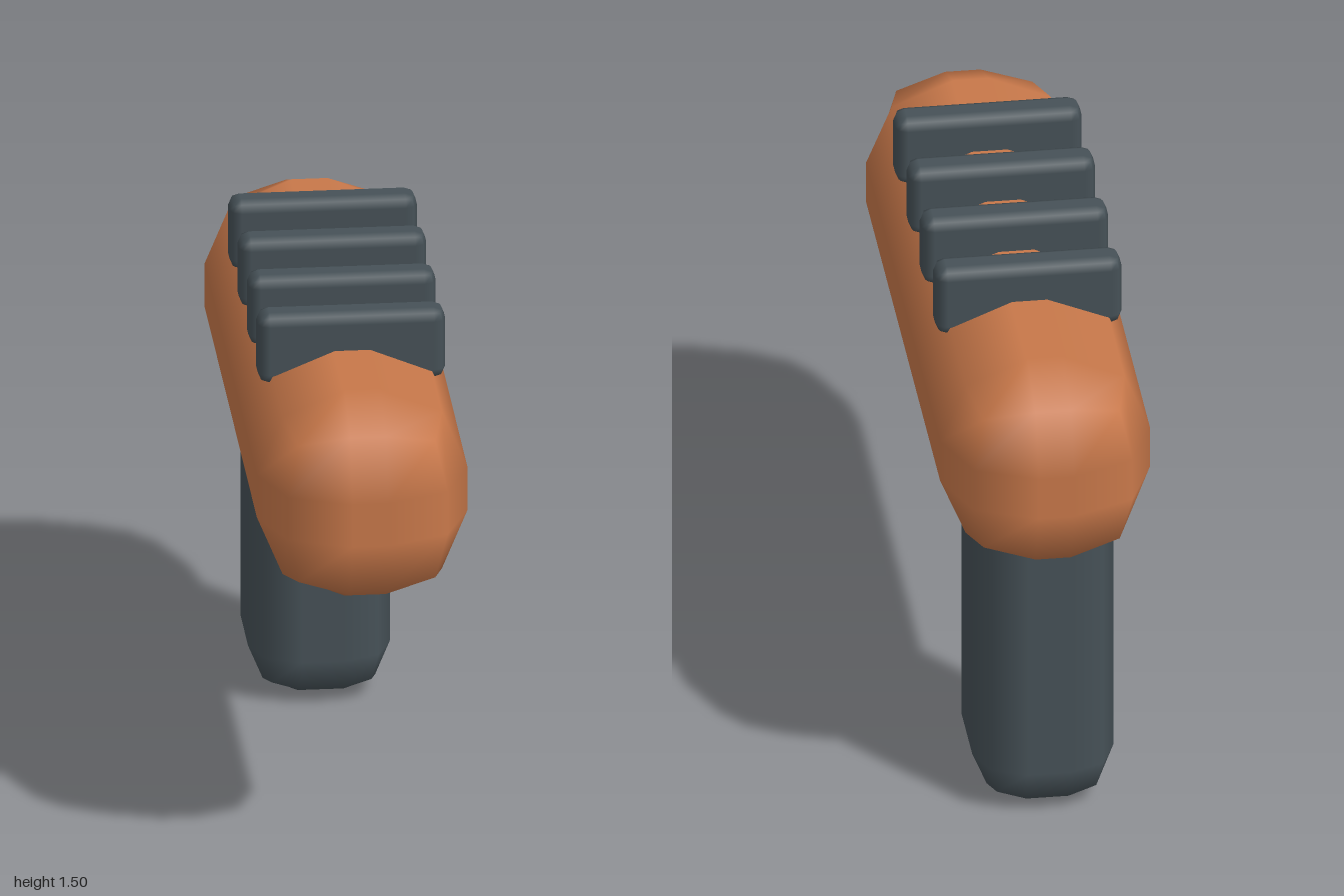
import * as THREE from 'three';
import { RoundedBoxGeometry } from 'three/addons/geometries/RoundedBoxGeometry.js';

export function createModel() {
  const model = new THREE.Group();
  const orange = new THREE.MeshStandardMaterial({ color: 0xc8784a });
  orange.name = 'copper orange';
  const slate = new THREE.MeshStandardMaterial({ color: 0x465157 });
  slate.name = 'slate grey';

  // Box with one bevel step, softly shaded
  function block(name, size, radius, position, material) {
    const mesh = new THREE.Mesh(new RoundedBoxGeometry(...size, 1, radius), material);
    mesh.name = name;
    mesh.position.set(...position);
    model.add(mesh);
  }

  // Long barrel body
  block('body', [0.577, 0.604, 2], 0.24, [0, 1.094, 0], orange);

  // Grip, sunk into the rear of the body
  block('handle', [0.388, 1.02, 0.492], 0.136, [0, 0.51, -0.604], slate);

  // Row of cooling fins along the top
  for (let i = 0; i < 4; i++) {
    block('fin' + (i + 1), [0.513, 0.205, 0.104], 0.032, [0, 1.4, 0.424 - i * 0.273], slate);
  }

  return model;
}
